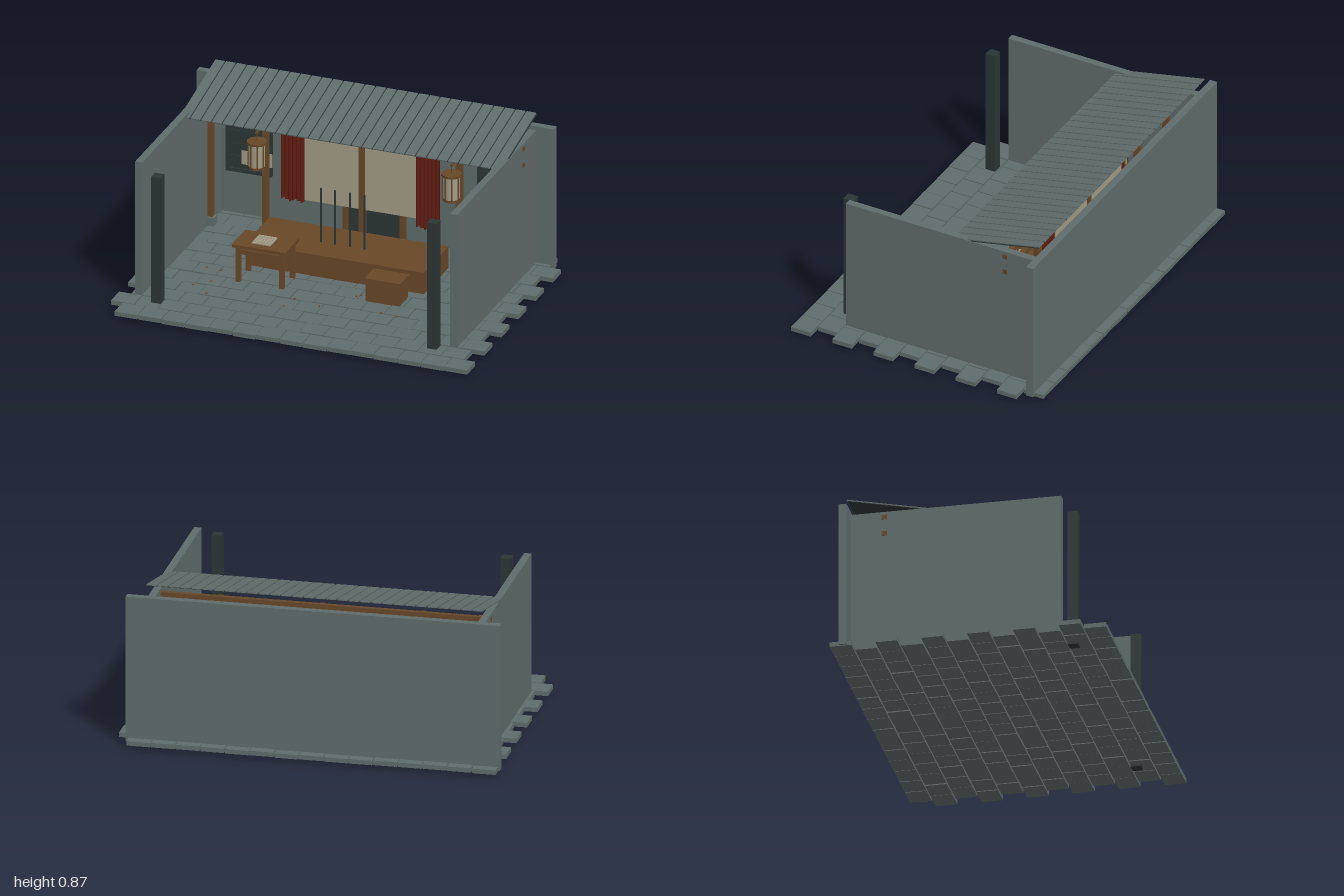
import * as THREE from 'three';

const mat = (name, color, side = THREE.FrontSide) => {
  const m = new THREE.MeshStandardMaterial({ color, side });
  m.name = name;
  return m;
};

export function createModel() {
  const root = new THREE.Group();
  root.name = 'courtyardPavilion';
  const stone = mat('greyStone', 0x606c6b);
  const dark = mat('darkTimber', 0x2b3535);
  const wood = mat('brownWood', 0x674728);
  const red = mat('redCloth', 0x5e1c12, THREE.DoubleSide);
  const cream = mat('creamPaper', 0xa39c86, THREE.DoubleSide);
  const leafMat = mat('dryLeaf', 0x6b3a20, THREE.DoubleSide);

  const group = (name, parent = root) => {
    const g = new THREE.Group();
    g.name = name;
    parent.add(g);
    return g;
  };
  // Box given by its minimum and maximum corners
  const box = (name, m, x0, x1, y0, y1, z0, z1, parent = root) => {
    const mesh = new THREE.Mesh(new THREE.BoxGeometry(x1 - x0, y1 - y0, z1 - z0), m);
    mesh.position.set((x0 + x1) / 2, (y0 + y1) / 2, (z0 + z1) / 2);
    mesh.name = name;
    parent.add(mesh);
    return mesh;
  };
  const noise = (i) => {
    const s = Math.sin(i * 127.1 + 3.7) * 43758.5;
    return s - Math.floor(s);
  };

  // Paving in staggered rows
  const paving = group('paving');
  for (let r = 0; r < 12; r++) {
    for (let c = 0; c < 15; c++) {
      const x = (r % 2 ? -0.925 : -0.99) + c * 0.128;
      const z = -0.71 + r * 0.1185;
      const y = 0.015 + noise(r * 15 + c) * 0.004;
      box('pavingSlab', stone, x, x + 0.123, y, y + 0.024, z, z + 0.112, paving);
    }
  }

  // Walls and free-standing front pillars
  box('backWall', stone, -1, 0.94, 0.02, 0.8, -0.66, -0.62);
  box('rightWall', stone, -0.905, -0.867, 0.035, 0.78, -0.62, 0.47);
  box('leftWall', stone, 0.806, 0.844, 0.035, 0.78, -0.62, 0.47);
  for (const x of [-0.768, 0.73]) box('frontPillar', dark, x - 0.026, x + 0.026, 0, 0.74, 0.478, 0.532);

  // Sloping roof of narrow strips on a thin sheet
  const roof = group('roof');
  roof.position.set(-0.03, 0.812, -0.392);
  roof.rotation.x = Math.atan(0.21);
  box('roofSheet', dark, -0.872, 0.872, -0.004, -0.001, -0.25, 0.25, roof);
  for (let i = 0; i < 30; i++) {
    const x = -0.875 + i * 0.0583;
    box('roofStrip', stone, x, x + 0.051, -0.002, 0.004, -0.253, 0.253, roof);
  }

  // Timber frame: two beams, five posts on stone feet
  const frame = group('timberFrame');
  for (const y of [0.66, 0.75]) box('beam', wood, -0.907, 0.846, y - 0.013, y + 0.013, -0.458, -0.432, frame);
  for (const x of [-0.855, -0.555, -0.03, 0.497, 0.8]) {
    box('post', wood, x - 0.015, x + 0.015, 0.06, 0.765, -0.46, -0.43, frame);
    box('postFoot', stone, x - 0.026, x + 0.026, 0.035, 0.09, -0.471, -0.419, frame);
  }

  // Paper screens between the middle posts
  box('screenRight', cream, -0.38, -0.045, 0.265, 0.645, -0.448, -0.442);
  box('screenLeft', cream, -0.015, 0.31, 0.265, 0.645, -0.448, -0.442);

  // Pleated curtains
  const curtain = (name, x0, x1, y0) => {
    const geo = new THREE.PlaneGeometry(x1 - x0, 0.67 - y0, 48, 4);
    const p = geo.attributes.position;
    for (let i = 0; i < p.count; i++) {
      const t = (p.getX(i) / (x1 - x0) + 0.5) * Math.PI * 12;
      p.setZ(i, Math.sin(t) * 0.009);
      if (p.getY(i) < -(0.67 - y0) / 2 + 0.01) p.setY(i, p.getY(i) + 0.006 * Math.sin(t / 3));
    }
    geo.computeVertexNormals();
    const mesh = new THREE.Mesh(geo, red);
    mesh.name = name;
    mesh.position.set((x0 + x1) / 2, (0.67 + y0) / 2, -0.418);
    root.add(mesh);
  };
  curtain('curtainRight', -0.462, -0.335, 0.265);
  curtain('curtainLeft', 0.272, 0.4, 0.23);

  // Door in the back wall
  const door = group('door');
  box('doorPanel', dark, -0.17, 0.11, 0.04, 0.56, -0.62, -0.608, door);
  for (const x of [-0.2, 0.11]) box('doorJamb', wood, x, x + 0.03, 0.04, 0.56, -0.62, -0.598, door);
  box('doorLintel', wood, -0.2, 0.14, 0.56, 0.59, -0.62, -0.598, door);

  // Barred windows
  for (const cx of [-0.71, 0.655]) {
    const w = group('window');
    w.position.set(cx, 0.432, -0.61);
    box('windowPane', dark, -0.115, 0.115, -0.14, 0.14, -0.01, -0.004, w);
    for (const s of [-1, 1]) {
      box('windowSide', dark, s * 0.115 - 0.009, s * 0.115 + 0.009, -0.152, 0.152, -0.01, 0.012, w);
      box('windowRail', dark, -0.115, 0.115, s * 0.143 - 0.009, s * 0.143 + 0.009, -0.01, 0.012, w);
    }
    for (let i = -2; i <= 2; i++) box('windowBar', dark, i * 0.038 - 0.005, i * 0.038 + 0.005, -0.14, 0.14, -0.01, 0.006, w);
    for (const y of [-0.07, 0, 0.07]) box('windowCrossbar', dark, -0.115, 0.115, y - 0.004, y + 0.004, -0.01, 0.004, w);
  }

  // Blank paper slips hung in a row
  [[-0.73, 0.37], [-0.685, 0.382], [-0.635, 0.363], [-0.593, 0.375], [-0.5, 0.38]].forEach(([x, y]) =>
    box('paperSlip', cream, x - 0.016, x + 0.016, y - 0.038, y + 0.038, -0.594, -0.591));

  // Ribbed lanterns on brackets
  for (const x of [-0.56, 0.497]) {
    const l = group('lantern');
    l.position.set(x, 0.53, -0.335);
    const drum = (name, m, r, h, y) => {
      const mesh = new THREE.Mesh(new THREE.CylinderGeometry(r, r, h, 12), m);
      mesh.position.y = y;
      mesh.name = name;
      l.add(mesh);
    };
    drum('lanternShade', cream, 0.043, 0.13, 0);
    drum('lanternTop', wood, 0.053, 0.012, 0.068);
    drum('lanternBottom', wood, 0.046, 0.012, -0.068);
    drum('lanternCord', wood, 0.003, 0.05, 0.095);
    for (let i = 0; i < 8; i++) {
      const a = (i + 0.5) * Math.PI / 4;
      const rib = box('lanternRib', wood, -0.003, 0.003, -0.065, 0.065, -0.003, 0.003, l);
      rib.position.set(Math.cos(a) * 0.045, 0, Math.sin(a) * 0.045);
    }
    box('lanternBracket', wood, -0.006, 0.006, 0.115, 0.127, -0.1, 0.01, l);
  }

  // Raised platform with slender rods, and a step chest
  box('platform', wood, -0.515, 0.455, 0.035, 0.16, -0.4, -0.06);
  for (const x of [-0.165, -0.088, -0.008, 0.07]) box('rod', dark, x - 0.004, x + 0.004, 0.16, 0.46, -0.219, -0.211);
  box('stepChest', wood, 0.21, 0.395, 0.035, 0.155, 0.005, 0.125);
  box('stepChestLid', wood, 0.205, 0.4, 0.155, 0.17, 0, 0.13);

  // Table with latticed game board
  const table = group('table');
  box('tableTop', wood, -0.502, -0.212, 0.235, 0.252, -0.03, 0.16, table);
  box('tableApron', wood, -0.48, -0.234, 0.195, 0.22, -0.01, 0.14, table);
  for (const x of [-0.488, -0.25]) {
    for (const z of [-0.018, 0.124]) box('tableLeg', wood, x, x + 0.024, 0.035, 0.235, z, z + 0.024, table);
  }
  for (let i = 0; i < 7; i++) {
    const d = i * 0.0155;
    box('boardStripAcross', cream, -0.412, -0.312, 0.252, 0.258, 0.012 + d, 0.021 + d, table);
    box('boardStripAlong', cream, -0.412 + d, -0.404 + d, 0.252, 0.257, 0.012, 0.114, table);
  }

  // Fallen leaves
  const leaves = [[-0.68, 0.05], [-0.6, 0.06], [-0.52, 0.02], [-0.6, 0.2], [-0.67, 0.27], [-0.57, 0.34], [-0.15, 0.34],
    [0.02, 0.28], [-0.13, 0.24], [0.05, -0.05], [0.17, 0.08], [0.15, 0.1], [0.18, 0], [0.34, 0.24], [0.43, 0.25], [0.58, 0.11]];
  leaves.forEach(([x, z], i) => {
    const leaf = new THREE.Mesh(new THREE.CircleGeometry(0.009, 5), leafMat);
    leaf.name = 'fallenLeaf';
    leaf.scale.y = 0.6;
    leaf.rotation.set(-Math.PI / 2 + 0.2, 0, noise(i) * 6.28);
    leaf.position.set(x, 0.047, z);
    root.add(leaf);
  });
  return root;
}
